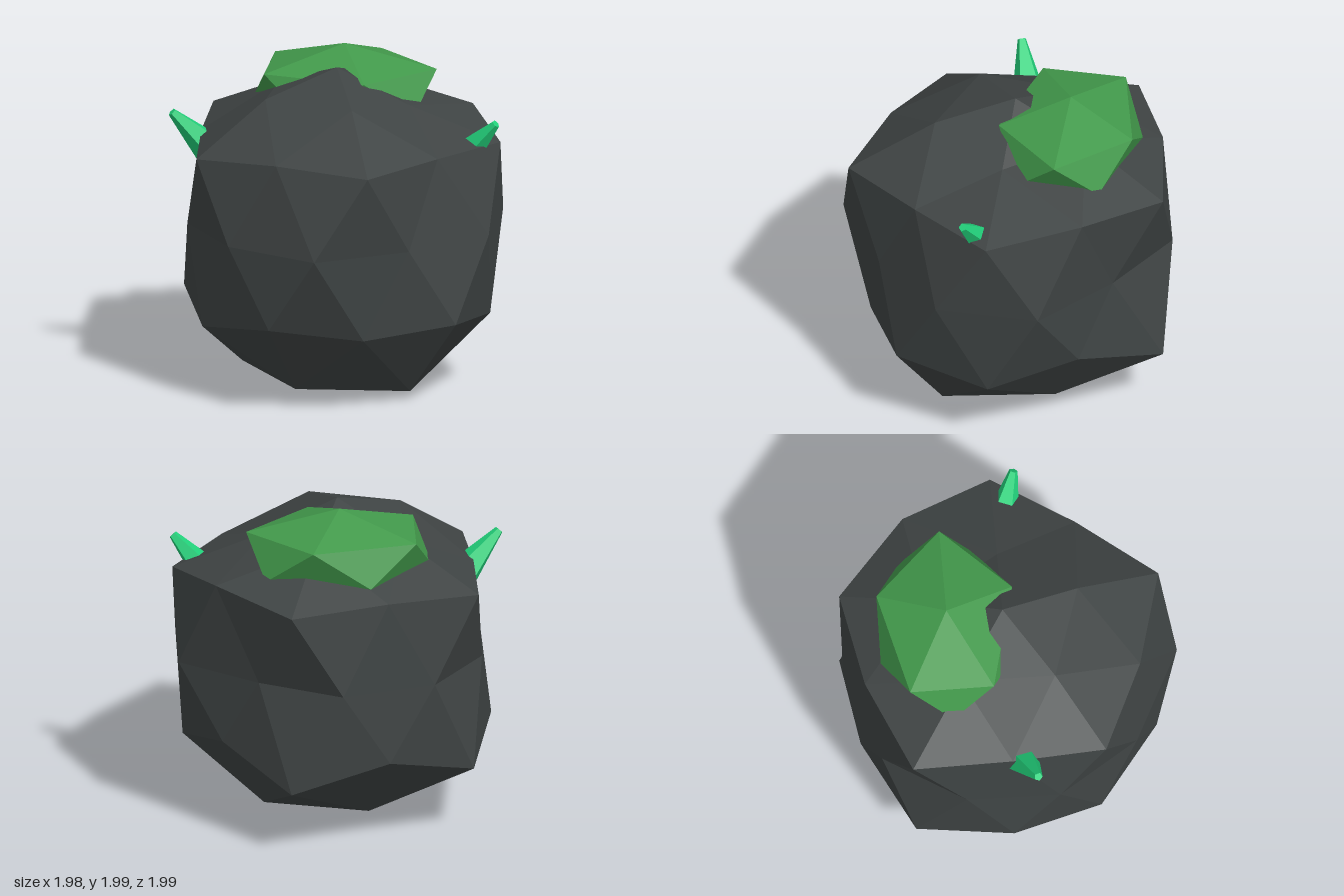
import * as THREE from 'three';
import { ConvexGeometry } from 'three/addons/geometries/ConvexGeometry.js';

const CENTRE = new THREE.Vector3(0, 1.03, -0.05);

// Direction on the unit sphere; the angle runs from +x towards +z
function direction(degrees, y) {
  const a = THREE.MathUtils.degToRad(degrees), r = Math.sqrt(1 - y * y);
  return new THREE.Vector3(r * Math.cos(a), y, r * Math.sin(a));
}

// Ring of boulder points, each pushed out by its own radius
function ring(y, start, step, radii) {
  return radii.map((s, i) => direction(start + step * i, y).multiplyScalar(s).add(CENTRE));
}

// Once-subdivided icosahedron with uneven radii
function boulderGeometry() {
  const top = ring(1, 0, 0, [0.915])[0];
  const A = ring(0.8507, 0, 72, [0.82, 0.92, 0.92, 0.88, 0.9]);
  const M = ring(0.5257, 36, 72, [0.97, 0.99, 0.955, 1.04, 1.08]);
  const U = ring(0.4472, 0, 72, [1.096, 1.12, 1.064, 1.133, 1.117]);
  const E = ring(0, 18, 36, [1, 0.9, 1.04, 0.94, 0.905, 0.895, 0.94, 0.95, 0.84, 1.005]);
  const L = ring(-0.4472, 36, 72, [1.09, 1.055, 1.026, 1.02, 0.97]);
  const N = ring(-0.5257, 0, 72, [1.08, 1.02, 1.07, 1.15, 1.174]);
  const B = ring(-0.8507, 36, 72, [1.14, 1.09, 1.08, 1.04, 1.05]);
  const bottom = ring(-1, 0, 0, [1.02])[0];

  const points = [];
  const face = (a, b, c) => points.push(c, b, a);
  for (let k = 0; k < 5; k++) {
    const n = (k + 1) % 5;
    const e0 = E[2 * k], e1 = E[2 * k + 1], e2 = E[(2 * k + 2) % 10];
    // cap
    face(top, A[k], A[n]);
    face(A[k], U[k], M[k]);
    face(A[k], M[k], A[n]);
    face(A[n], M[k], U[n]);
    // waist
    face(U[k], e0, M[k]);
    face(M[k], e0, e1);
    face(M[k], e1, U[n]);
    face(e0, L[k], e1);
    face(U[n], e1, e2);
    face(e1, N[n], e2);
    face(e1, L[k], N[n]);
    face(e2, N[n], L[n]);
    // underside
    face(L[k], B[k], N[n]);
    face(N[n], B[k], B[n]);
    face(N[n], B[n], L[n]);
    face(bottom, B[n], B[k]);
  }
  const geometry = new THREE.BufferGeometry().setFromPoints(points);
  geometry.computeVertexNormals();
  return geometry;
}

// Flattened icosahedron standing on one point
function mossGeometry() {
  const points = [direction(0, 1), direction(0, -1)];
  for (let k = 0; k < 5; k++) {
    points.push(direction(72 * k, 0.4472), direction(72 * k + 36, -0.4472));
  }
  const scale = new THREE.Vector3(0.62, 0.253, 0.475);
  return new ConvexGeometry(points.map((p) => p.multiply(scale)));
}

export function createModel() {
  const stone = new THREE.MeshStandardMaterial({ color: 0x3f4444 });
  stone.name = 'stone';
  const mossGreen = new THREE.MeshStandardMaterial({ color: 0x42994b });
  mossGreen.name = 'moss green';
  const crystalGreen = new THREE.MeshStandardMaterial({ color: 0x22d07a });
  crystalGreen.name = 'crystal green';
  for (const m of [stone, mossGreen, crystalGreen]) m.flatShading = true;

  const model = new THREE.Group();
  model.name = 'mossyBoulder';
  const add = (name, geometry, material) => {
    const mesh = new THREE.Mesh(geometry, material);
    mesh.name = name;
    model.add(mesh);
    return mesh;
  };

  add('boulder', boulderGeometry(), stone);
  add('mossCap', mossGeometry(), mossGreen).position.set(0, 1.747, -0.385);

  // Tapered crystals growing out of both sides
  const length = 0.44;
  const up = new THREE.Vector3(0, 1, 0);
  for (const side of [-1, 1]) {
    const axis = new THREE.Vector3(side * 0.65, 0.71, 0.25).normalize();
    const tip = new THREE.Vector3(side * 0.972, 1.672, 0.09);
    const geometry = new THREE.CylinderGeometry(0.026, 0.13, length, 5);
    const crystal = add(side > 0 ? 'leftCrystal' : 'rightCrystal', geometry, crystalGreen);
    crystal.quaternion.setFromUnitVectors(up, axis);
    crystal.position.copy(tip).addScaledVector(axis, -length / 2);
  }
  return model;
}
